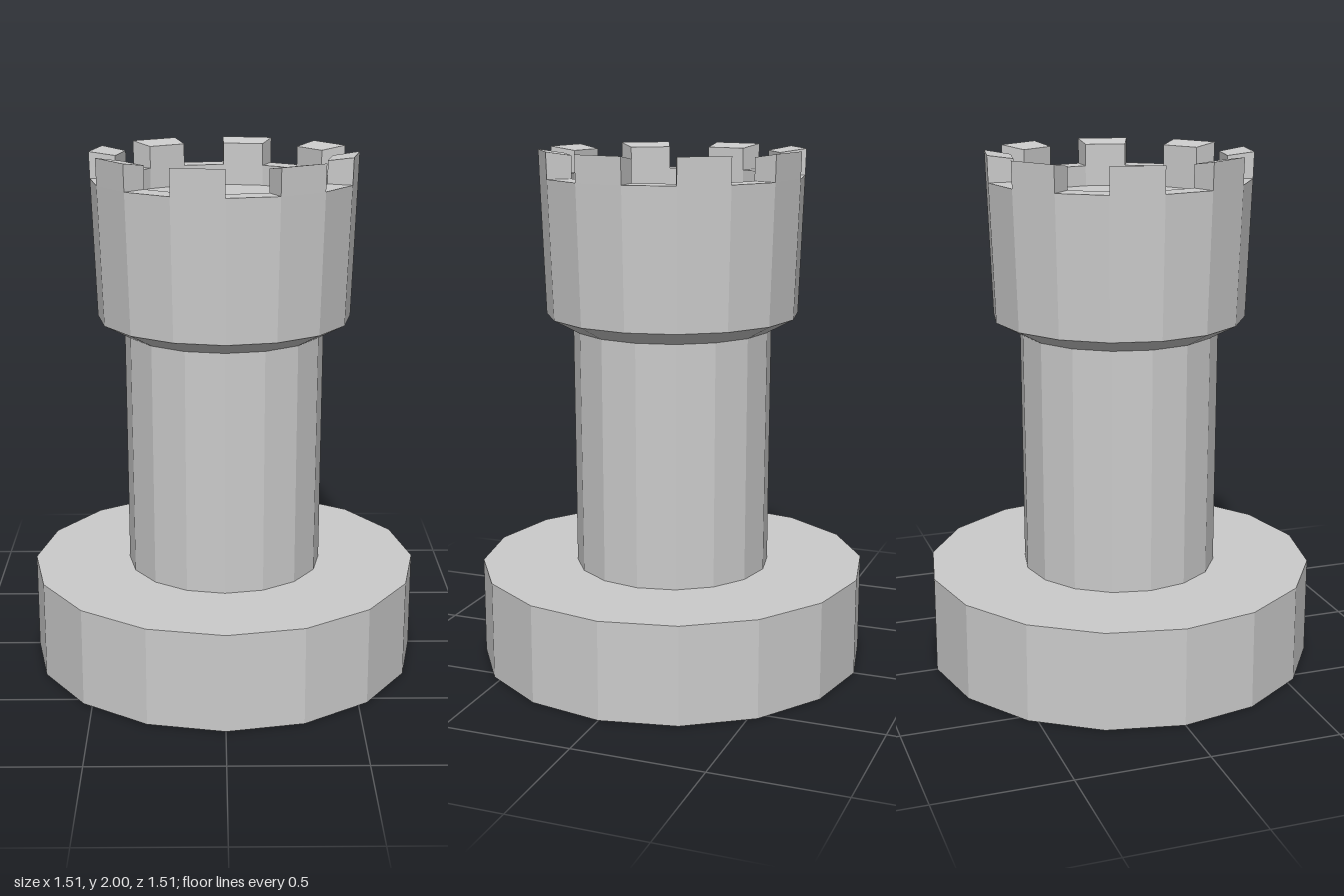
import * as THREE from 'three';

const SIDES = 16;
const STEP = (Math.PI * 2) / SIDES;
const material = new THREE.MeshStandardMaterial({ color: 0xcccccc, flatShading: true });

function addPart(parent, name, geometry) {
  const flat = geometry.toNonIndexed();
  flat.computeVertexNormals();
  const mesh = new THREE.Mesh(flat, material);
  mesh.name = name;
  parent.add(mesh);
}

// Sixteen-sided turned part from [radius, height] pairs, listed bottom to top
function turned(profile) {
  return new THREE.LatheGeometry(profile.map(([r, y]) => new THREE.Vector2(r, y)), SIDES);
}

// One battlement block: a box bent onto a single side of the rim
function merlonGeometry(index) {
  const geometry = new THREE.BoxGeometry(1, 1, 1);
  const p = geometry.attributes.position;
  for (let i = 0; i < p.count; i++) {
    const top = p.getY(i) > 0;
    const outer = p.getZ(i) > 0;
    const angle = (index + 0.5 + p.getX(i)) * STEP;
    const radius = outer ? (top ? 0.507 : 0.504) : 0.407;
    const y = top ? (outer ? 2 : 1.985) : 1.9; // tops slope inwards
    p.setXYZ(i, radius * Math.sin(angle), y, radius * Math.cos(angle));
  }
  return geometry;
}

export function createModel() {
  const tower = new THREE.Group();
  tower.name = 'tower';

  // Broad foot
  addPart(tower, 'base', turned([[0, 0], [0.755, 0], [0.755, 0.38], [0, 0.38]]));

  // Shaft, widening very slightly upwards
  addPart(tower, 'column', turned([[0.379, 0.38], [0.383, 1.32]]));

  // Flared head with a sunken floor
  addPart(tower, 'head', turned([
    [0.383, 1.32], [0.485, 1.375], [0.504, 1.9], [0.407, 1.9], [0.407, 1.82], [0, 1.82],
  ]));

  // Battlements on every other side
  const battlements = new THREE.Group();
  battlements.name = 'battlements';
  for (let i = 1; i < SIDES; i += 2) addPart(battlements, 'merlon', merlonGeometry(i));
  tower.add(battlements);

  return tower;
}
